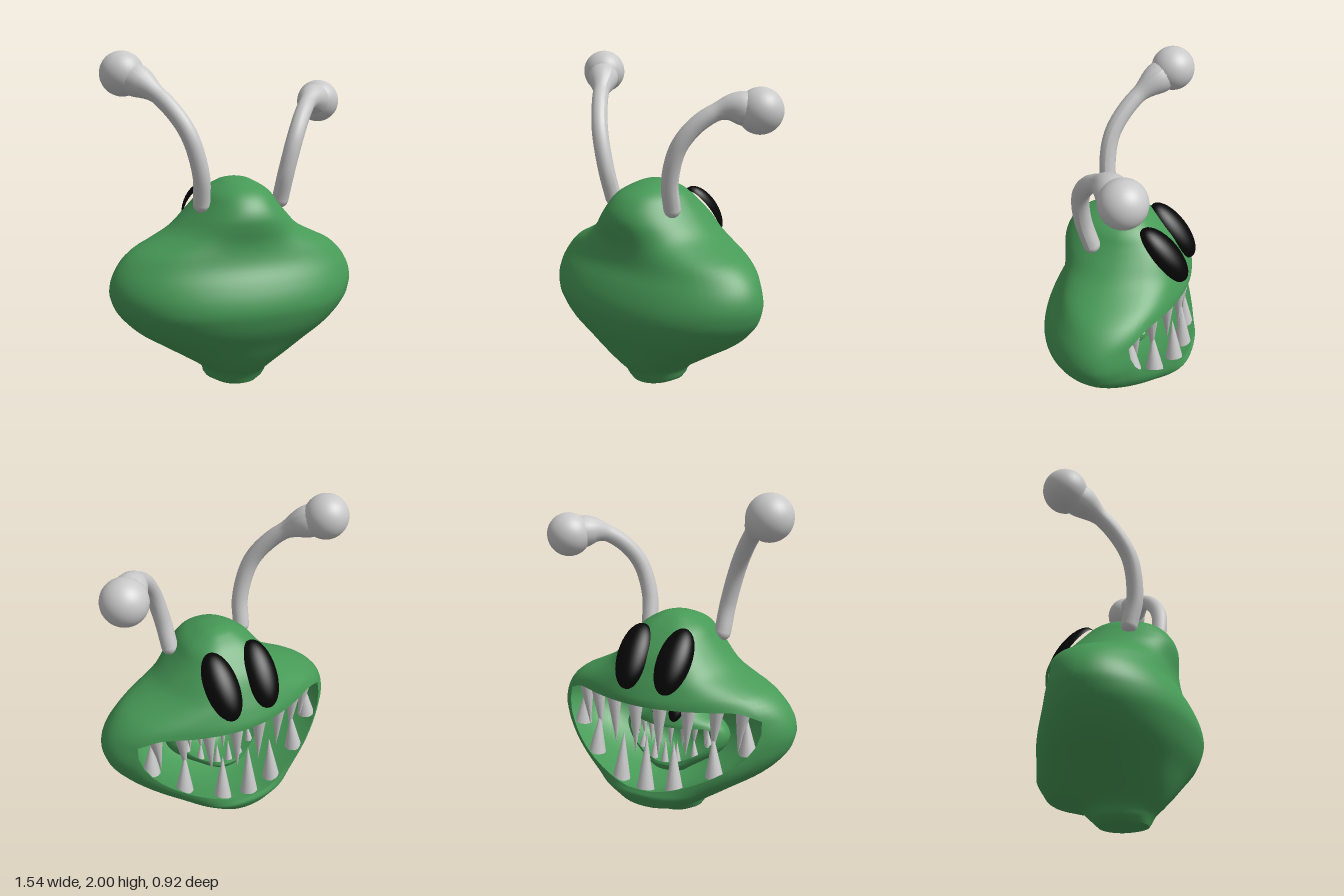
import * as THREE from 'three';
import { mergeVertices, mergeGeometries } from 'three/addons/utils/BufferGeometryUtils.js';

const mat = (name, color) => Object.assign(new THREE.MeshStandardMaterial({ color }), { name });
const skin = mat('green skin', 0x479a57);
const bone = mat('pale bone', 0xc9c9c9);
const black = mat('eye black', 0x060606);

// Smooth interpolation through [position, value] pairs
function smooth(pts) {
  const slope = i => {
    const a = pts[Math.max(i - 1, 0)], b = pts[Math.min(i + 1, pts.length - 1)];
    return (b[1] - a[1]) / (b[0] - a[0]);
  };
  return p => {
    let i = 0;
    while (i < pts.length - 2 && p > pts[i + 1][0]) i++;
    const [x0, y0] = pts[i], [x1, y1] = pts[i + 1], h = x1 - x0;
    const t = Math.min(Math.max((p - x0) / h, 0), 1), t2 = t * t, t3 = t2 * t;
    return (2 * t3 - 3 * t2 + 1) * y0 + (t3 - 2 * t2 + t) * h * slope(i)
      + (3 * t2 - 2 * t3) * y1 + (t3 - t2) * h * slope(i + 1);
  };
}

// Half width, face depth (-z) and rear depth (+z) by height
const TOP = 1.27;
const width = smooth([[0.01, 0.14], [0.04, 0.19], [0.08, 0.2], [0.12, 0.235], [0.2, 0.355], [0.28, 0.48],
  [0.35, 0.59], [0.42, 0.67], [0.5, 0.735], [0.56, 0.76], [0.62, 0.772], [0.7, 0.755], [0.78, 0.705],
  [0.85, 0.625], [0.9, 0.52], [0.96, 0.405], [1.05, 0.31], [1.12, 0.25], [1.19, 0.195], [1.24, 0.115],
  [1.26, 0.065], [TOP, 0]]);
const face = smooth([[0.01, 0.125], [0.07, 0.19], [0.11, 0.24], [0.14, 0.345], [0.16, 0.41], [0.2, 0.44],
  [0.25, 0.462], [0.28, 0.452], [0.33, 0.435], [0.42, 0.41], [0.55, 0.36], [0.7, 0.35], [0.79, 0.415],
  [0.88, 0.39], [0.95, 0.355], [1.05, 0.3], [1.1, 0.26], [1.2, 0.16], [1.25, 0.08], [1.26, 0.05], [TOP, 0]]);
const rear = smooth([[0.01, 0.16], [0.07, 0.19], [0.12, 0.24], [0.2, 0.3], [0.3, 0.36], [0.4, 0.42],
  [0.5, 0.455], [0.55, 0.46], [0.62, 0.445], [0.7, 0.41], [0.78, 0.365], [0.85, 0.345], [0.92, 0.34],
  [1, 0.35], [1.06, 0.35], [1.13, 0.32], [1.2, 0.25], [1.25, 0.13], [1.26, 0.08], [TOP, 0]]);
// How pointed (+) or square (-) the face is in plan
const pointed = smooth([[0, 0], [0.3, -0.08], [0.6, -0.09], [0.7, -0.05], [0.79, 0.07], [0.86, 0.02],
  [0.95, -0.08], [1.05, -0.13], [TOP, -0.08]]);

// Lip heights by angle from the middle of the face
const CORNER = 1.05;
const lowCurve = smooth([[0, 0.285], [0.2, 0.29], [0.456, 0.33], [0.71, 0.415], [0.89, 0.53], [CORNER, 0.735]]);
const highCurve = smooth([[0, 0.79], [0.5, 0.79], [0.85, 0.785], [CORNER, 0.735]]);
const fold = a => Math.min(Math.abs(a), Math.PI * 2 - Math.abs(a), CORNER);
const lowLip = a => lowCurve(fold(a));
const highLip = a => highCurve(fold(a));

function onSkin(a, y) {
  const c = Math.cos(a), diagonal = Math.sin(2 * a) ** 2;
  const depth = c > 0 ? face(y) * (1 - pointed(y) * diagonal) : rear(y) * (1 + 0.03 * diagonal);
  return new THREE.Vector3(width(y) * Math.sin(a), y, -c * depth);
}

// Grid surface: at(row 0..1, column angle) -> Vector3
function grid(rows, angles, at) {
  const pos = [], index = [], n = angles.length;
  for (let r = 0; r <= rows; r++) for (const a of angles) pos.push(...at(r / rows, a).toArray());
  for (let r = 0; r < rows; r++) for (let c = 0; c < n - 1; c++) {
    const i = r * n + c;
    index.push(i, i + n, i + 1, i + 1, i + n, i + n + 1);
  }
  const g = new THREE.BufferGeometry();
  g.setAttribute('position', new THREE.Float32BufferAttribute(pos, 3));
  g.setIndex(index);
  return g;
}

function smoothed(g) {
  const m = mergeVertices(g, 1e-4);
  m.computeVertexNormals();
  return m;
}

function add(parent, name, geometry, material) {
  const m = new THREE.Mesh(geometry, material);
  m.name = name;
  parent.add(m);
  return m;
}

const mouthAngles = Array.from({ length: 41 }, (_, i) => -CORNER + i / 40 * 2 * CORNER);
const backAngles = Array.from({ length: 48 }, (_, i) => CORNER + (i + 1) / 48 * (Math.PI * 2 - 2 * CORNER));

// Head with an open, toothed mouth and two eyes
function makeHead(name) {
  const head = new THREE.Group();
  head.name = name;

  const around = [...mouthAngles, ...backAngles];
  const lower = grid(32, around, (v, a) => onSkin(a, 0.01 + v * (lowLip(a) - 0.01)));
  const upper = grid(32, around, (v, a) => {
    const y = highLip(a);
    return onSkin(a, TOP - (TOP - y) * (1 - v) ** 1.6);
  });
  add(head, 'body', smoothed(mergeGeometries([lower, upper])), skin);
  const foot = grid(1, around, (v, a) => v ? onSkin(a, 0.01) : new THREE.Vector3());
  add(head, 'foot', smoothed(foot), skin);

  // Bowl-shaped mouth lining between the lips
  const lining = grid(24, mouthAngles, (s, a) => {
    const low = onSkin(a, lowLip(a)), high = onSkin(a, highLip(a));
    const open = Math.sqrt(Math.max(0, 1 - (a / CORNER) ** 2));
    const push = Math.sin(Math.PI * s);
    const p = low.clone().lerp(high, (1 - Math.cos(Math.PI * s)) / 2);
    p.y -= 0.1 * open * Math.sin(2 * Math.PI * s);
    p.x *= 1 - 0.15 * push * open;
    p.z += 0.66 * open * push;
    return p;
  });
  add(head, 'mouthLining', smoothed(lining), skin);

  // Teeth stand just inside each lip
  const tooth = (label, a, y, dir, length, radius) => {
    const base = onSkin(a, y);
    base.x *= 0.95;
    base.z += radius + 0.006;
    const g = new THREE.ConeGeometry(radius, length, 14);
    g.translate(0, length / 2 - 0.02, 0);
    const t = add(head, label, g, bone);
    t.position.copy(base);
    const lean = new THREE.Vector3(-0.12 * Math.sin(a), dir, dir > 0 ? 0.08 : -0.04).normalize();
    t.quaternion.setFromUnitVectors(new THREE.Vector3(0, 1, 0), lean);
  };
  for (const a of [-0.9, -0.69, -0.36, 0, 0.36, 0.69, 0.9])
    tooth('lowerTooth', a, lowLip(a), 1, 0.34 - 0.12 * Math.abs(a), 0.054);
  for (const a of [-0.9, -0.64, -0.38, -0.12, 0.12, 0.38, 0.64, 0.9])
    tooth('upperTooth', a, highLip(a), -1, 0.34 - 0.06 * Math.abs(a), 0.048);

  // Domed oval eyes set into the sloping brow
  for (const side of [-1, 1]) {
    const dome = new THREE.SphereGeometry(1, 32, 16, 0, Math.PI * 2, 0, Math.PI * 0.56);
    const eye = add(head, side > 0 ? 'leftEye' : 'rightEye', dome, black);
    eye.scale.set(0.103, 0.088, 0.208);
    eye.position.set(side * 0.13, 1.04, -0.272);
    eye.rotation.set(-0.886, side * 0.04, 0);
  }
  return head;
}

// Bent stalk flaring into a ball
function makeAntenna(name, points, ball) {
  const antenna = new THREE.Group();
  antenna.name = name;
  const path = new THREE.CatmullRomCurve3([...points, ball].map(p => new THREE.Vector3(...p)));
  const stalk = new THREE.TubeGeometry(path, 48, 0.05, 16);
  const { position, uv } = stalk.attributes, v = new THREE.Vector3();
  for (let i = 0; i < position.count; i++) {
    const t = uv.getX(i), centre = path.getPointAt(t);
    v.fromBufferAttribute(position, i).sub(centre);
    v.multiplyScalar(1 + 0.9 * THREE.MathUtils.smoothstep(t, 0.72, 0.9)).add(centre);
    position.setXYZ(i, v.x, v.y, v.z);
  }
  stalk.computeVertexNormals();
  add(antenna, 'stalk', stalk, bone);
  add(antenna, 'stalkRoot', new THREE.SphereGeometry(0.05, 16, 12), bone).position.set(...points[0]);
  add(antenna, 'ball', new THREE.SphereGeometry(0.13, 32, 24), bone).position.set(...ball);
  return antenna;
}

export function createModel() {
  const model = new THREE.Group();
  model.name = 'creature';
  model.add(makeHead('head'));

  // Small second head sitting inside the mouth
  const inner = makeHead('innerHead');
  inner.scale.setScalar(0.45);
  inner.position.set(0, 0.22, 0.03);
  model.add(inner);

  model.add(makeAntenna('leftAntenna',
    [[0.25, 1.13, 0.13], [0.27, 1.3, 0.17], [0.33, 1.5, 0.16], [0.42, 1.64, 0.08], [0.52, 1.71, -0.03]],
    [0.64, 1.695, -0.155]));
  model.add(makeAntenna('rightAntenna',
    [[-0.25, 1.13, 0.13], [-0.265, 1.3, 0.17], [-0.33, 1.53, 0.16], [-0.42, 1.69, 0.08], [-0.52, 1.8, -0.03]],
    [-0.63, 1.87, -0.145]));
  return model;
}
